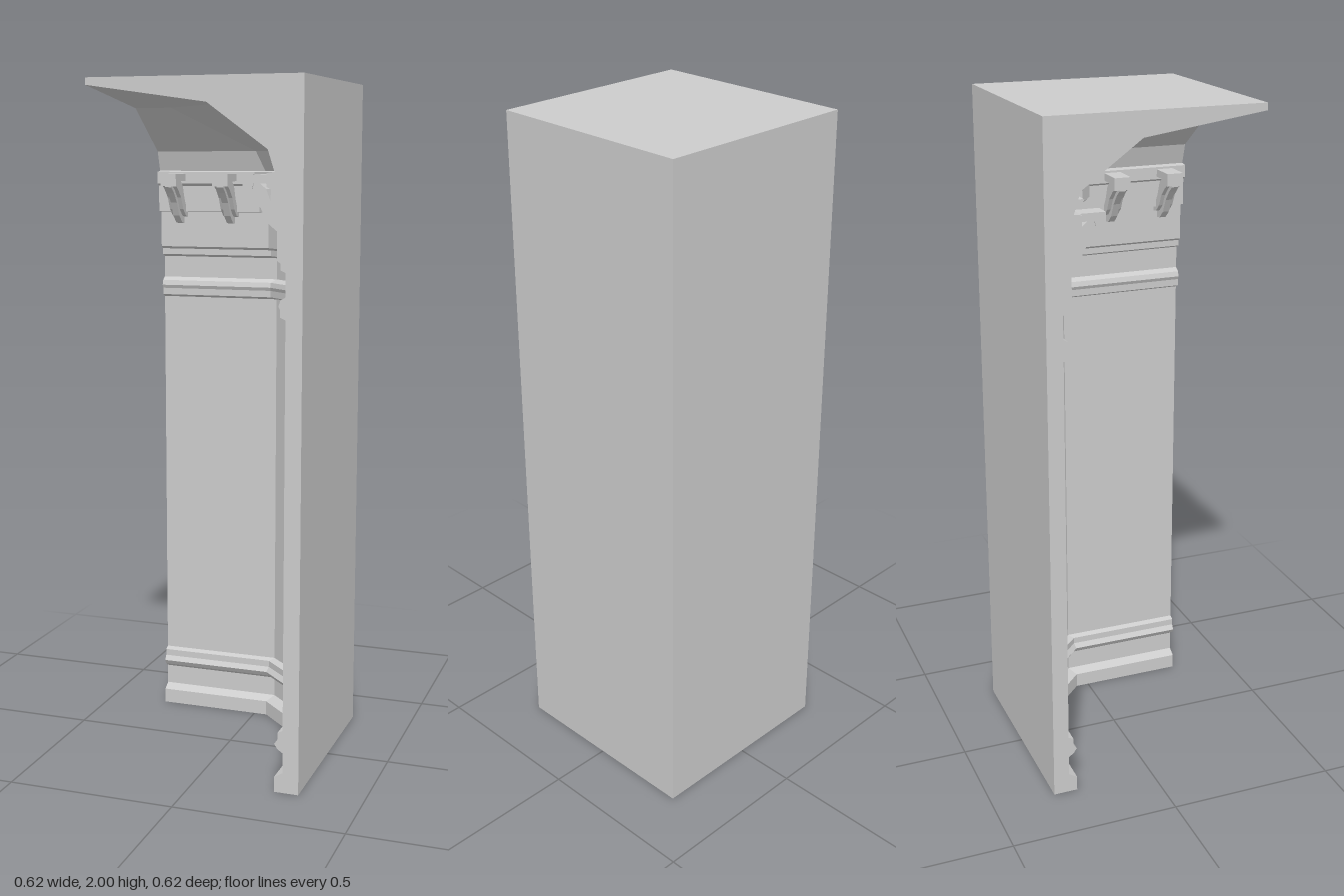
import * as THREE from 'three';

const H = 0.3125; // half width of the square plan

// Wall profile: [height, distance of the wall face from the centre, leg of the corner chamfer]
const profile = [
  [0, 0.24, 0.2], [0.045, 0.24, 0.2], [0.06, 0.265, 0.205], [0.12, 0.265, 0.205],
  [0.13, 0.25, 0.205], [0.145, 0.24, 0.2], [0.16, 0.25, 0.205], [0.18, 0.25, 0.205],
  [0.187, 0.265, 0.205], [1.353, 0.265, 0.205], [1.36, 0.25, 0.205], [1.38, 0.25, 0.205],
  [1.39, 0.245, 0.2], [1.405, 0.25, 0.205], [1.415, 0.265, 0.205], [1.48, 0.265, 0.205],
  [1.487, 0.25, 0.205], [1.505, 0.25, 0.205], [1.512, 0.24, 0.2], [1.62, 0.24, 0.2],
  [1.622, 0.222, 0.205], [1.70, 0.222, 0.205], [1.707, 0.21, 0.205], [1.743, 0.21, 0.205],
  [1.746, 0.232, 0.2], [1.805, 0.213, 0.205], [1.93, 0.04, 0.24], [1.98, -H, 0], [2, -H, 0],
];

function wallGeometry() {
  const out = [];
  // Every triangle is emitted twice: once as is, once mirrored across the corner diagonal
  const tri = (a, b, c) => {
    out.push(...a, ...b, ...c);
    for (const v of [a, c, b]) out.push(-v[2], v[1], -v[0]);
  };
  const quad = (a, b, c, d) => { tri(a, b, c); tri(a, c, d); };

  // Inner face: straight wall plus half of the chamfer
  const rings = profile.map(([y, p, c]) => [
    [-H, y, -p], [p - c, y, -p], [p - c / 2, y, -p + c / 2],
  ]);
  for (let i = 0; i < rings.length - 2; i++)
    for (let j = 0; j < 2; j++)
      quad(rings[i][j], rings[i][j + 1], rings[i + 1][j + 1], rings[i + 1][j]);

  // Outer face, top and bottom
  quad([-H, 0, -H], [-H, 2, -H], [H, 2, -H], [H, 0, -H]);
  tri([-H, 2, H], [H, 2, -H], [-H, 2, -H]);
  const corner = [H, 0, -H], [a, m, k] = rings[0];
  tri(corner, k, m);
  tri(corner, m, a);
  tri(corner, a, [-H, 0, -H]);

  // End cap showing the wall profile
  const shape = new THREE.Shape([
    new THREE.Vector2(-H, 0),
    ...profile.map(([y, p]) => new THREE.Vector2(-p, y)),
    new THREE.Vector2(-H, 2),
  ]);
  const cap = new THREE.ShapeGeometry(shape).toNonIndexed();
  cap.rotateY(-Math.PI / 2).translate(-H, 0, 0);
  const pos = cap.attributes.position;
  const at = (i) => new THREE.Vector3().fromBufferAttribute(pos, i).toArray();
  for (let i = 0; i < pos.count; i += 3) tri(at(i), at(i + 1), at(i + 2));

  const g = new THREE.BufferGeometry();
  g.setAttribute('position', new THREE.Float32BufferAttribute(out, 3));
  g.computeVertexNormals();
  return g;
}

// Side profile (projection, height) extruded to a width centred on x = 0
function extrudeSide(points, width) {
  const shape = new THREE.Shape(points.map(([d, y]) => new THREE.Vector2(d, y)));
  const g = new THREE.ExtrudeGeometry(shape, { depth: width, bevelEnabled: false });
  return g.translate(0, 0, -width / 2).rotateY(-Math.PI / 2);
}

export function createModel() {
  const model = new THREE.Group();
  const mat = new THREE.MeshStandardMaterial({ color: 0xcccccc, flatShading: true });
  const add = (parent, name, geometry) => {
    const mesh = new THREE.Mesh(geometry, mat);
    mesh.name = name;
    parent.add(mesh);
  };
  add(model, 'cornerWall', wallGeometry());

  // Curved bracket: wide strip, narrow rib and a head block
  const strip = extrudeSide([
    [0, 1.605], [0.02, 1.61], [0.042, 1.63], [0.06, 1.665], [0.085, 1.69], [0.105, 1.703],
    [0.105, 1.73], [0.07, 1.722], [0.045, 1.7], [0.03, 1.66], [0.015, 1.635], [0, 1.63],
  ], 0.044);
  const rib = extrudeSide([
    [0, 1.585], [0.02, 1.588], [0.045, 1.61], [0.065, 1.65], [0.09, 1.68], [0.112, 1.697],
    [0.112, 1.72], [0.075, 1.7], [0.05, 1.67], [0.03, 1.635], [0, 1.615],
  ], 0.02);
  const head = extrudeSide([
    [0.015, 1.715], [0.08, 1.715], [0.085, 1.7], [0.112, 1.7], [0.112, 1.737], [0.015, 1.737],
  ], 0.05);

  const addBracket = (name, x, z, angle) => {
    const bracket = new THREE.Group();
    bracket.name = name;
    add(bracket, 'bracketStrip', strip);
    add(bracket, 'bracketRib', rib);
    add(bracket, 'bracketHead', head);
    bracket.position.set(x, 0, z);
    bracket.rotation.y = angle;
    model.add(bracket);
  };
  for (const s of [0.245, 0.078]) {
    addBracket('backWallBracket', -s, -0.24, 0);
    addBracket('sideWallBracket', 0.24, s, -Math.PI / 2);
  }
  addBracket('cornerBracket', 0.14, -0.14, -Math.PI / 4);
  return model;
}
